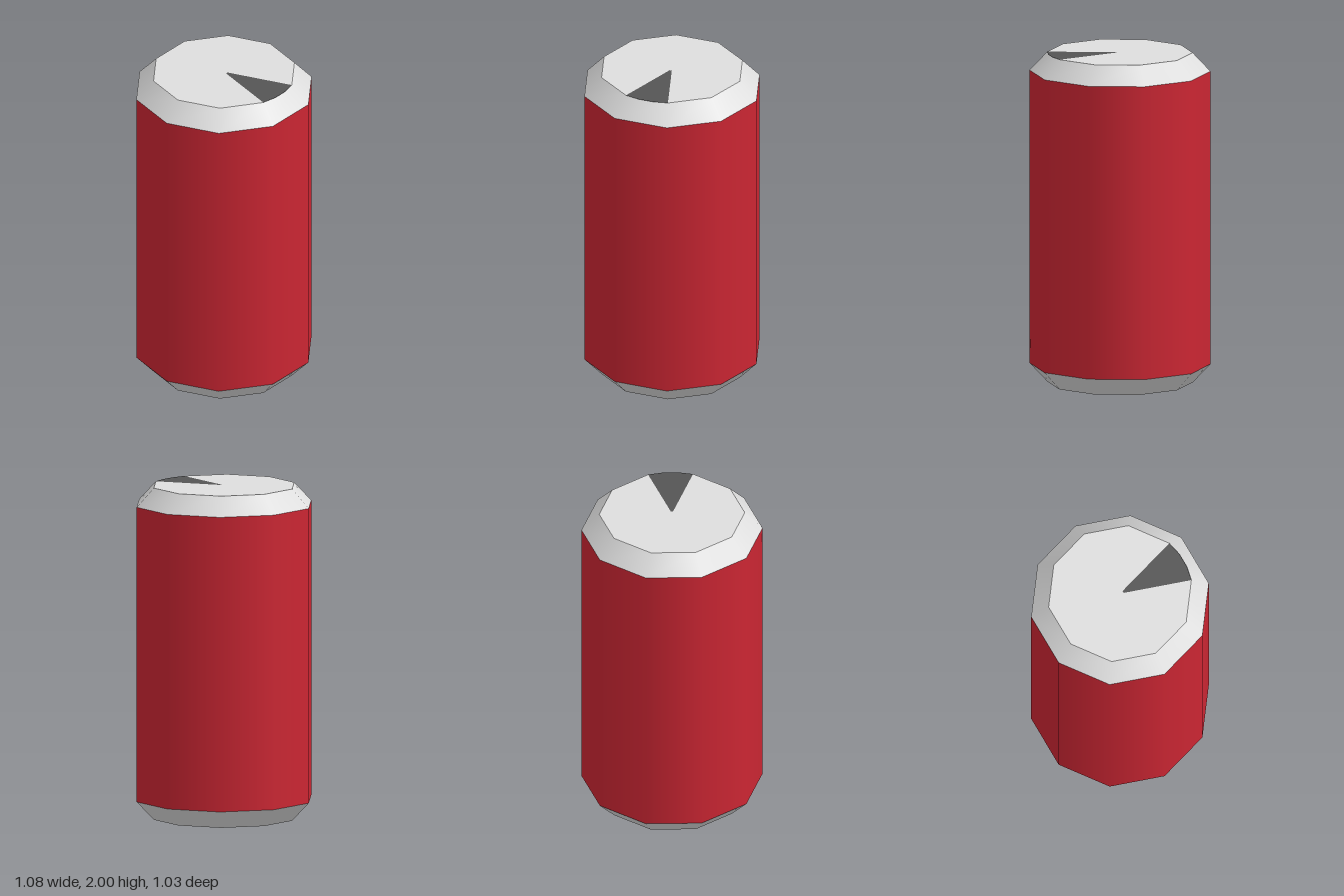
import * as THREE from 'three';

export function createModel() {
  const can = new THREE.Group();
  can.name = 'drinkCan';

  const paint = new THREE.MeshStandardMaterial({ color: 0xcc2633 });
  paint.name = 'red paint';
  const metal = new THREE.MeshStandardMaterial({ color: 0xdedede });
  metal.name = 'pale metal';
  const dark = new THREE.MeshStandardMaterial({ color: 0x555555 });
  dark.name = 'dark opening';

  const SIDES = 10, STEP = Math.PI * 2 / SIDES;
  const R = 0.54, END_R = 0.434, HEIGHT = 2, BEVEL = 0.112, TIP = 0.022;

  const add = (name, geometry, material) => {
    const mesh = new THREE.Mesh(geometry, material);
    mesh.name = name;
    can.add(mesh);
  };

  // Open ten-sided band with a corner on +x
  const band = (name, rTop, rBottom, y0, y1, material) => add(name,
    new THREE.CylinderGeometry(rTop, rBottom, y1 - y0, SIDES, 1, true, Math.PI / 2)
      .translate(0, (y0 + y1) / 2, 0), material);

  // Turns a flat disc piece to face up at the can's top
  const onTop = (geometry) => geometry.rotateX(-Math.PI / 2).translate(0, HEIGHT, 0);

  // Wall and sloping shoulders
  band('body', R, R, BEVEL, HEIGHT - BEVEL, paint);
  band('topShoulder', END_R, R, HEIGHT - BEVEL, HEIGHT, metal);
  band('bottomShoulder', R, END_R, 0, BEVEL, metal);

  // Base
  add('base', new THREE.CircleGeometry(END_R, SIDES).rotateX(Math.PI / 2), metal);

  // Lid with one dark wedge as the drinking hole
  add('lid', onTop(new THREE.CircleGeometry(END_R, SIDES - 1, 0, STEP * (SIDES - 1))), metal);
  add('lidCentre', onTop(new THREE.CircleGeometry(TIP, 1, -STEP, STEP)
    .toNonIndexed()), metal);
  add('opening', onTop(new THREE.RingGeometry(TIP, END_R, 3, 1, -STEP, STEP)), dark);

  return can;
}
